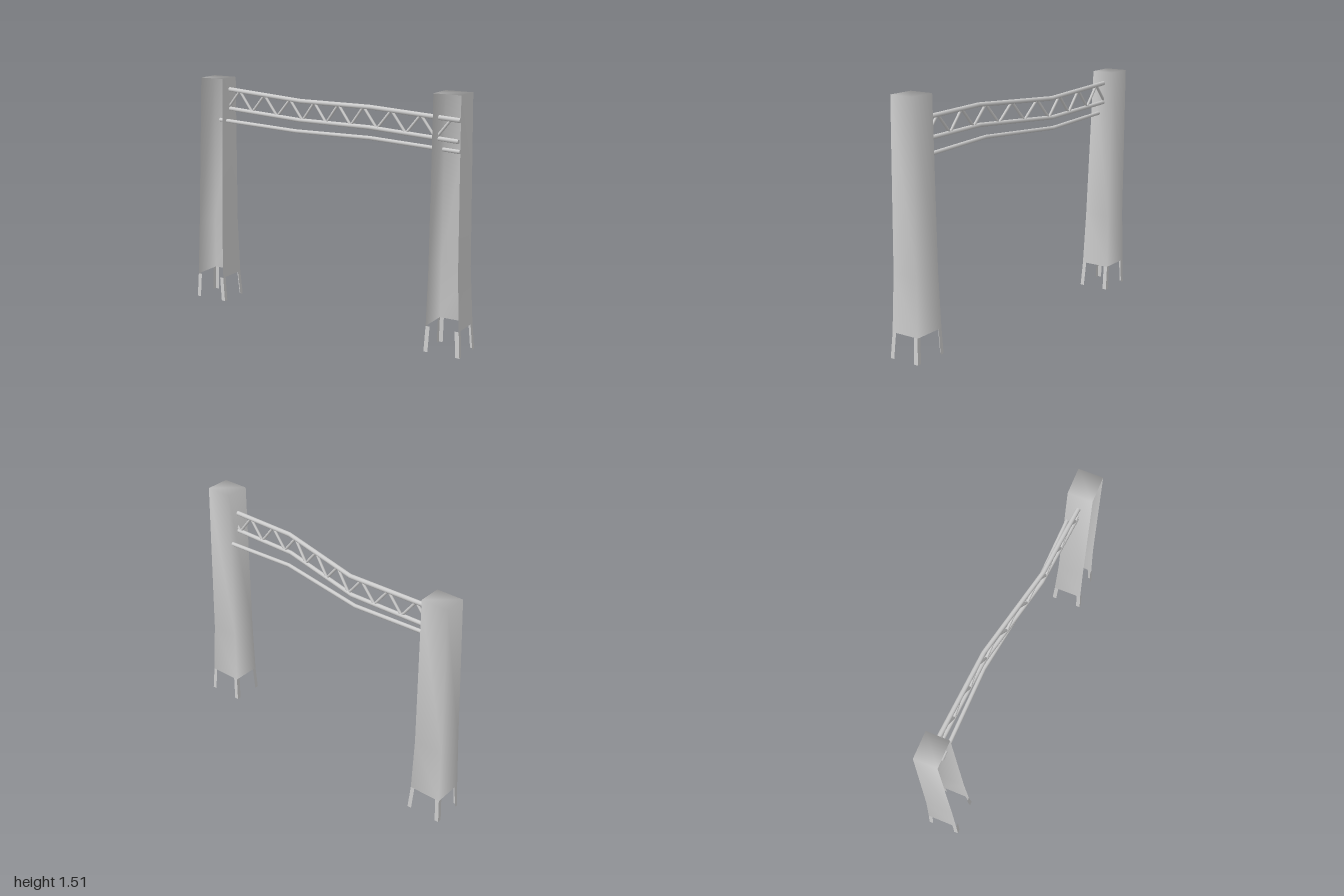
import * as THREE from 'three';

const material = new THREE.MeshStandardMaterial({ color: 0xcccccc, side: THREE.DoubleSide });
const V = (x, y, z) => new THREE.Vector3(x, y, z);

function addMesh(parent, geometry, name) {
  const mesh = new THREE.Mesh(geometry, material);
  mesh.name = name;
  parent.add(mesh);
  return mesh;
}

// Skin a row of cross-sections; extra holds additional triangle indices
function loft(rings, closed, extra = []) {
  const n = rings[0].length;
  const index = [];
  for (let r = 0; r < rings.length - 1; r++) {
    for (let i = 0; i < (closed ? n : n - 1); i++) {
      const j = (i + 1) % n;
      const a = r * n + i, b = r * n + j;
      index.push(a, a + n, b + n, a, b + n, b);
    }
  }
  const geometry = new THREE.BufferGeometry().setFromPoints(rings.flat());
  geometry.setIndex([...index, ...extra]);
  geometry.computeVertexNormals();
  return geometry;
}

// Three-walled tower, open at the front, with a flat cap and four angle-section legs.
// Each level is [y, xMin, xMax, zBack, zFront]; the first level is the ground.
function tower(name, levels) {
  const group = new THREE.Group();
  group.name = name;
  const rings = levels.map(([y, x0, x1, z0, z1]) =>
    [V(x0, y, z1), V(x0, y, z0), V(x1, y, z0), V(x1, y, z1)]);
  const walls = rings.slice(1);
  const t = (walls.length - 1) * 4;
  addMesh(group, loft(walls, false, [t, t + 3, t + 2, t, t + 2, t + 1]), 'towerShell');

  const arm = 0.026;
  for (let i = 0; i < 4; i++) {
    const sx = i < 2 ? 1 : -1;
    const sz = i === 1 || i === 2 ? 1 : -1;
    const section = (p) => [
      V(p.x + sx * arm, p.y, p.z), p.clone(), V(p.x, p.y, p.z + sz * arm)];
    const leg = loft([section(rings[0][i]), section(rings[1][i])], false).toNonIndexed();
    leg.computeVertexNormals();
    addMesh(group, leg, 'leg');
  }
  return group;
}

// Round rail with mitred bends, running along x
function rail(parent, name, points, radius) {
  const sides = 10;
  const rings = points.map((p) => Array.from({ length: sides }, (_, i) => {
    const a = -i / sides * Math.PI * 2;
    return V(p.x, p.y + radius * Math.cos(a), p.z + radius * Math.sin(a));
  }));
  addMesh(parent, loft(rings, true), name);
  for (const [p, turn] of [[points[0], -1], [points[points.length - 1], 1]]) {
    const end = addMesh(parent, new THREE.CircleGeometry(radius, sides), name + 'End');
    end.rotation.y = turn * Math.PI / 2;
    end.position.copy(p);
  }
}

// Point on a bent rail at a given x
function pointAtX(points, x) {
  let i = 0;
  while (i < points.length - 2 && x > points[i + 1].x) i++;
  const a = points[i], b = points[i + 1];
  return a.clone().lerp(b, (x - a.x) / (b.x - a.x));
}

function strut(parent, a, b, radius) {
  const d = b.clone().sub(a);
  const mesh = addMesh(parent, new THREE.CylinderGeometry(radius, radius, d.length(), 8), 'strut');
  mesh.position.copy(a).add(b).multiplyScalar(0.5);
  mesh.quaternion.setFromUnitVectors(V(0, 1, 0), d.normalize());
}

export function createModel() {
  const model = new THREE.Group();
  model.name = 'gantry';

  // Towers
  model.add(tower('rightTower', [
    [0, -1.0, -0.775, -0.175, 0.025],
    [0.155, -0.993, -0.79, -0.172, 0.018],
    [0.5, -0.985, -0.8, -0.167, 0.004],
    [1.458, -0.972, -0.804, -0.178, -0.034],
  ]));
  model.add(tower('leftTower', [
    [0, 0.77, 1.0, -0.022, 0.178],
    [0.155, 0.777, 0.988, -0.015, 0.17],
    [0.5, 0.785, 0.972, -0.003, 0.165],
    [1.508, 0.793, 0.963, 0.01, 0.163],
  ]));

  // Bent truss between the towers
  const truss = new THREE.Group();
  truss.name = 'truss';
  model.add(truss);
  const upper = [V(-0.82, 1.386, -0.112), V(-0.24, 1.355, -0.08), V(0.33, 1.379, 0.048), V(0.93, 1.357, 0.094)];
  const middle = [V(-0.83, 1.262, -0.112), V(-0.25, 1.236, -0.08), V(0.32, 1.259, 0.046), V(0.92, 1.237, 0.092)];
  const lower = [V(-0.86, 1.188, -0.077), V(-0.27, 1.166, -0.072), V(0.31, 1.19, 0.014), V(0.9, 1.166, 0.025)];
  rail(truss, 'upperRail', upper, 0.014);
  rail(truss, 'middleRail', middle, 0.013);
  rail(truss, 'lowerRail', lower, 0.012);

  // Zigzag struts
  const node = (i) => pointAtX(i % 2 ? upper : middle, -0.82 + i * 0.0995);
  for (let i = 0; i < 17; i++) strut(truss, node(i), node(i + 1), 0.0085);

  return model;
}
